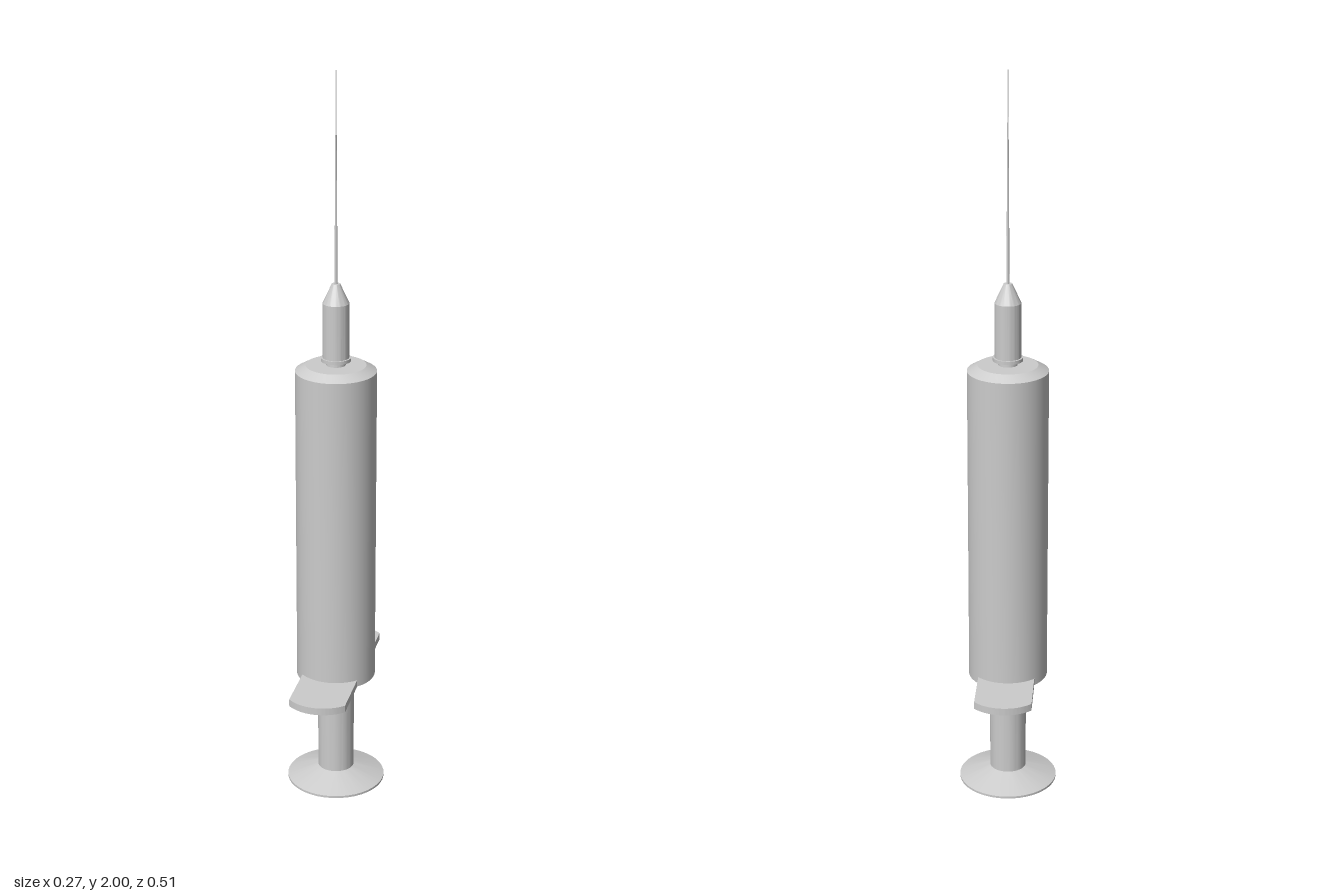
import * as THREE from 'three';
import { toCreasedNormals } from 'three/addons/utils/BufferGeometryUtils.js';

const material = new THREE.MeshStandardMaterial({ color: 0xcccccc });

export function createModel() {
  const model = new THREE.Group();
  const axisZ = -0.002;

  // Turned part from [radius, height] pairs, listed bottom to top
  function turned(name, profile, segments = 40) {
    const points = profile.map(([r, y]) => new THREE.Vector2(r, y));
    const geometry = toCreasedNormals(new THREE.LatheGeometry(points, segments), 0.3);
    const mesh = new THREE.Mesh(geometry, material);
    mesh.name = name;
    mesh.position.z = axisZ;
    model.add(mesh);
  }

  // Plunger: flared thumb rest and straight rod
  turned('thumbRest', [[0, 0], [0.135, 0], [0.135, 0.006], [0.05, 0.036], [0, 0.036]]);
  turned('plungerRod', [[0, 0.03], [0.05, 0.03], [0.05, 0.34], [0, 0.34]]);

  // Barrel with bevelled shoulder
  turned('barrel', [[0, 0.325], [0.108, 0.325], [0.108, 1.21], [0.08, 1.226], [0, 1.226]]);

  // Nozzle neck, needle hub with rim, and tapered needle
  turned('nozzle', [[0, 1.22], [0.026, 1.22], [0.024, 1.26], [0, 1.26]]);
  turned('needleHub', [
    [0, 1.238], [0.04, 1.238], [0.04, 1.247], [0.035, 1.247],
    [0.035, 1.395], [0.011, 1.447], [0, 1.447],
  ]);
  turned('needle', [[0, 1.44], [0.0042, 1.44], [0.001, 2], [0, 2]], 12);

  // Finger flange: straight sides with arc ends
  const radius = 0.108, halfWidth = 0.077, arcCentre = 0.146;
  const a = Math.acos(halfWidth / radius);
  const outline = new THREE.Shape();
  outline.absarc(0, arcCentre, radius, a, Math.PI - a, false);
  outline.absarc(0, -arcCentre, radius, Math.PI + a, 2 * Math.PI - a, false);
  outline.closePath();
  const flangeGeometry = new THREE.ExtrudeGeometry(outline, {
    depth: 0.02, bevelEnabled: false, curveSegments: 16,
  });
  flangeGeometry.rotateX(-Math.PI / 2);
  const flange = new THREE.Mesh(toCreasedNormals(flangeGeometry, 0.3), material);
  flange.name = 'fingerFlange';
  flange.position.y = 0.3245;
  model.add(flange);

  return model;
}
